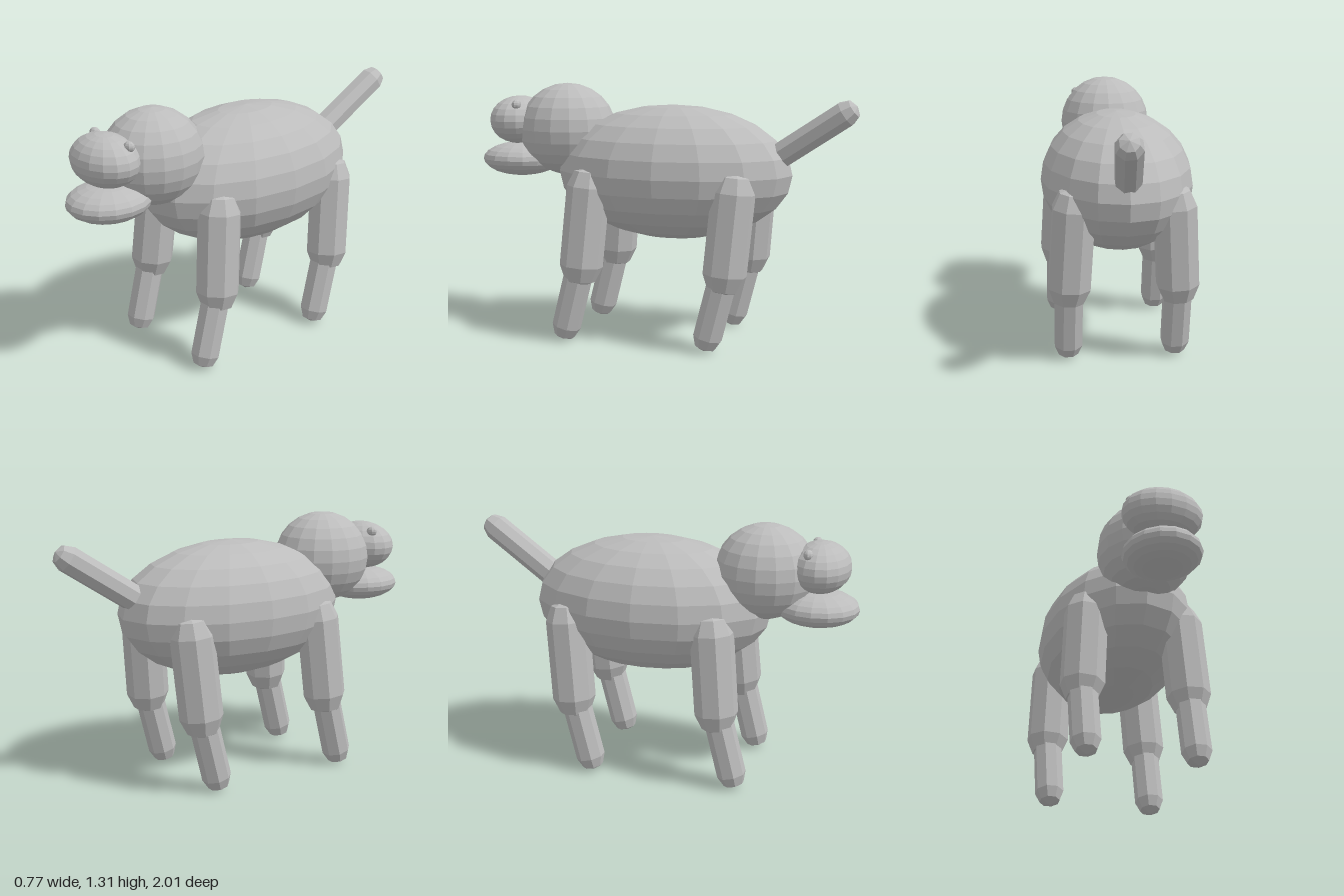
import * as THREE from 'three';

export function createModel() {
  const model = new THREE.Group();
  model.name = 'animal';
  const grey = new THREE.MeshStandardMaterial({ color: 0xbcbcbc, flatShading: true });
  grey.name = 'plain grey';

  function add(name, geometry, parent = model) {
    const mesh = new THREE.Mesh(geometry, grey);
    mesh.name = name;
    parent.add(mesh);
    return mesh;
  }

  // Faceted ellipsoid given by its centre and half sizes
  function ellipsoid(name, centre, half, w = 16, h = 12) {
    const geometry = new THREE.SphereGeometry(1, w, h);
    geometry.scale(...half);
    add(name, geometry).position.set(...centre);
  }

  // Eight-sided capsule between the centres of its two end caps
  function limb(name, from, to, radius, parent) {
    const a = new THREE.Vector3(...from), b = new THREE.Vector3(...to);
    const axis = b.clone().sub(a);
    const geometry = new THREE.CapsuleGeometry(radius, axis.length(), 2, 8);
    geometry.rotateY(Math.PI / 8);
    const mesh = add(name, geometry, parent);
    mesh.position.copy(a).add(b).multiplyScalar(0.5);
    mesh.quaternion.setFromUnitVectors(new THREE.Vector3(0, 1, 0), axis.normalize());
  }

  // Trunk and head
  ellipsoid('body', [0, 0.864, -0.06], [0.385, 0.344, 0.62]);
  ellipsoid('head', [0, 1.07, 0.525], [0.24, 0.24, 0.255]);
  ellipsoid('snout', [0, 1.112, 0.8], [0.2, 0.127, 0.15]);
  ellipsoid('lowerJaw', [0, 0.905, 0.79], [0.192, 0.09, 0.21]);

  // Tail, rising backwards and a little to one side
  limb('tail', [0, 0.94, -0.58], [0.039, 1.183, -0.945], 0.068);

  for (const side of [-1, 1]) {
    const label = side > 0 ? 'left' : 'right';
    ellipsoid(label + 'Eye', [side * 0.137, 1.2, 0.757], [0.031, 0.026, 0.024], 8, 8);

    // Two-part legs; the hind pair repeats the front pair further back
    for (const [pair, z] of [['Front', 0], ['Hind', -0.755]]) {
      const leg = new THREE.Group();
      leg.name = label + pair + 'Leg';
      leg.position.z = z;
      model.add(leg);
      limb('upperLeg', [side * 0.268, 0.395, 0.352], [side * 0.245, 0.8, 0.317], 0.11, leg);
      limb('lowerLeg', [side * 0.27, 0.073, 0.436], [side * 0.27, 0.36, 0.364], 0.074, leg);
    }
  }
  return model;
}
